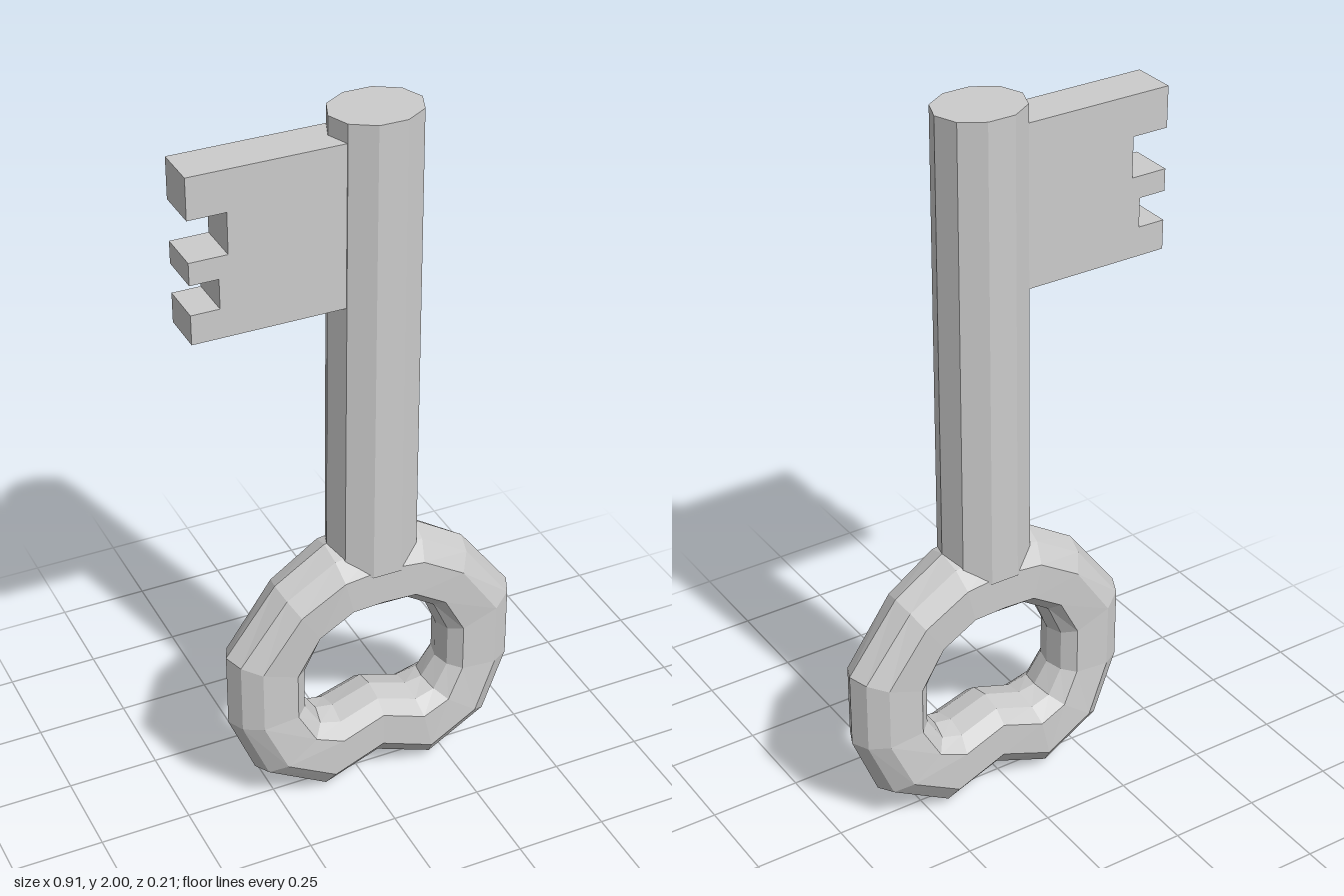
import * as THREE from 'three';

const material = new THREE.MeshStandardMaterial({ color: 0xcccccc, flatShading: true, side: THREE.DoubleSide });
const CENTER_X = 0.04;

// Half of the heart-like bow, bottom to top: outer x, outer y, inner x, inner y, half depth
const half = [
  [0, 0.062, 0, 0.275, 0.095],
  [0.163, 0, 0.11, 0.237, 0.1],
  [0.342, 0.103, 0.16, 0.245, 0.092],
  [0.415, 0.285, 0.2, 0.305, 0.081],
  [0.415, 0.5, 0.2, 0.42, 0.081],
  [0.272, 0.69, 0.16, 0.515, 0.09],
  [0.13, 0.78, 0.08, 0.57, 0.098],
  [0, 0.8, 0, 0.57, 0.098],
];
// Ten-sided section: distance from outer to inner edge, depth factor
const section = [
  [0, 0], [0.1, 0.6], [0.33, 1], [0.79, 1], [0.94, 0.6],
  [1, 0], [0.94, -0.6], [0.79, -1], [0.33, -1], [0.1, -0.6],
];

function bowGeometry() {
  const mirrored = half.slice(1, -1).reverse().map(([a, b, c, d, e]) => [-a, b, -c, d, e]);
  const stations = [...half, ...mirrored];
  const n = stations.length, m = section.length;
  const positions = [], index = [];
  stations.forEach(([ox, oy, ix, iy, depth], i) => {
    section.forEach(([t, z], k) => {
      positions.push(CENTER_X + ox + (ix - ox) * t, oy + (iy - oy) * t, z * depth);
      const i2 = (i + 1) % n, k2 = (k + 1) % m;
      const a = i * m + k, b = i2 * m + k, c = i2 * m + k2, d = i * m + k2;
      index.push(a, b, c, a, c, d);
    });
  });
  const geometry = new THREE.BufferGeometry();
  geometry.setAttribute('position', new THREE.Float32BufferAttribute(positions, 3));
  geometry.setIndex(index);
  geometry.computeVertexNormals();
  return geometry;
}

// Oval ten-sided shaft, leaning very slightly towards +x
function shaftGeometry() {
  const bottom = 0.71, top = 2;
  const geometry = new THREE.CylinderGeometry(0.123, 0.127, top - bottom, 10, 1, false, Math.PI / 2);
  geometry.scale(1, 1, 0.85);
  geometry.translate(0, (top + bottom) / 2, 0);
  const p = geometry.attributes.position;
  for (let i = 0; i < p.count; i++) {
    const t = (p.getY(i) - bottom) / (top - bottom);
    p.setX(i, p.getX(i) + 0.043 + 0.009 * t);
  }
  geometry.computeVertexNormals();
  return geometry;
}

// Flat bit with two notches in its outer edge
function bitGeometry() {
  const outline = [
    [0, 1.51], [0, 1.95], [-0.455, 1.95], [-0.455, 1.84], [-0.355, 1.84], [-0.355, 1.73],
    [-0.455, 1.73], [-0.455, 1.67], [-0.38, 1.67], [-0.38, 1.59], [-0.455, 1.59], [-0.455, 1.51],
  ];
  const shape = new THREE.Shape(outline.map(([x, y]) => new THREE.Vector2(x, y)));
  const geometry = new THREE.ExtrudeGeometry(shape, { depth: 0.12, bevelEnabled: false });
  geometry.translate(0, 0, -0.06);
  return geometry;
}

export function createModel() {
  const group = new THREE.Group();
  group.name = 'key';
  const parts = { bow: bowGeometry(), shaft: shaftGeometry(), bit: bitGeometry() };
  for (const [name, geometry] of Object.entries(parts)) {
    const mesh = new THREE.Mesh(geometry, material);
    mesh.name = name;
    group.add(mesh);
  }
  return group;
}
